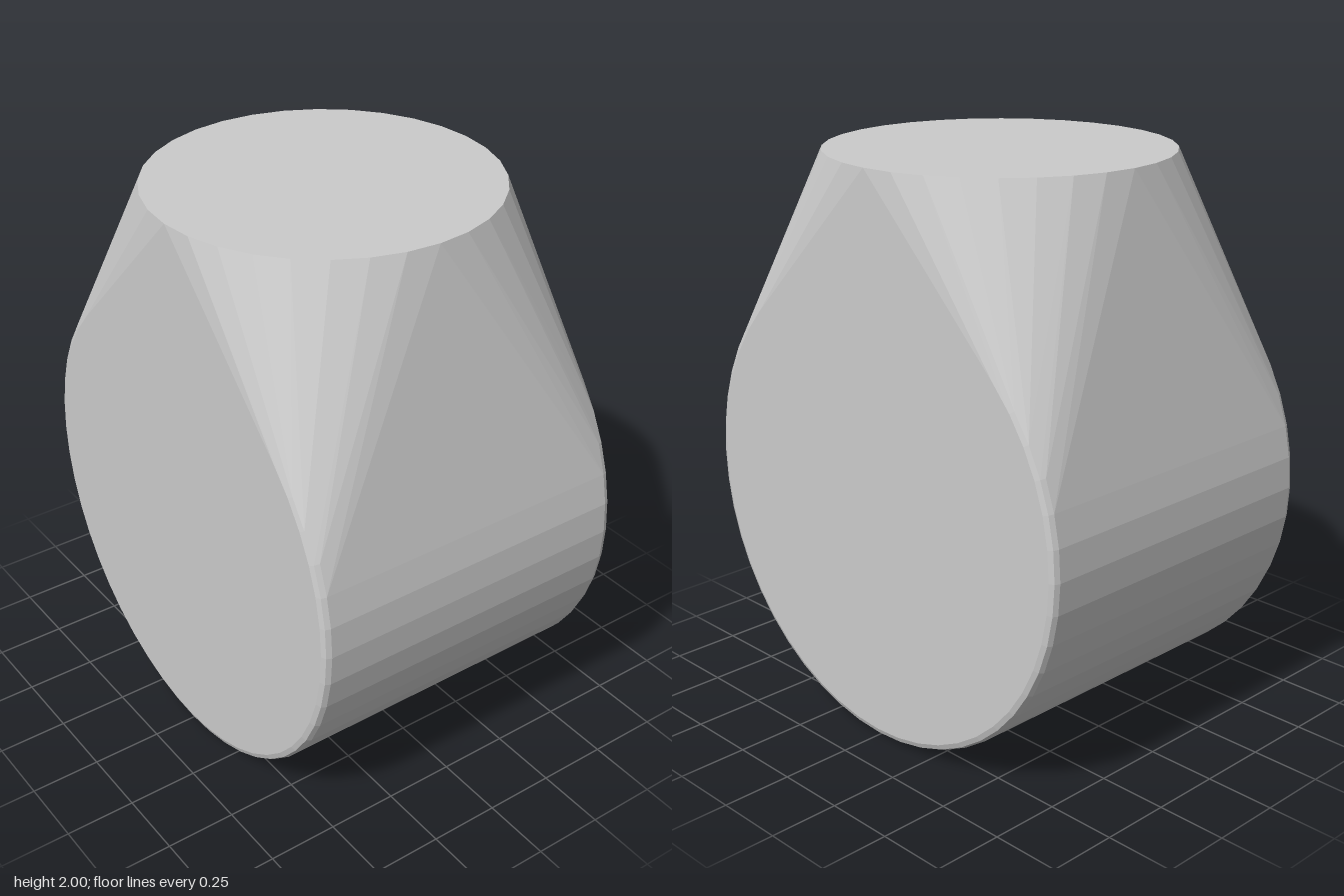
import * as THREE from 'three';
import { ConvexGeometry } from 'three/addons/geometries/ConvexGeometry.js';

const DRUM_RADIUS = 0.845, HALF_DEPTH = 0.6, TOP_RADIUS = 0.6, HEIGHT = 2, BEVEL = 0.025;

// Points evenly spaced round a circle, placed by a callback
function ring(count, radius, place) {
  return Array.from({ length: count }, (_, i) => {
    const a = (i / count) * Math.PI * 2;
    return place(Math.cos(a) * radius, Math.sin(a) * radius);
  });
}

export function createModel() {
  const group = new THREE.Group();
  group.name = 'taperedDrum';
  const points = [];

  // Drum lying along z, with a narrow two-step bevel on both rims
  for (const side of [-1, 1]) {
    for (const angle of [0, Math.PI / 4, Math.PI / 2]) {
      const r = DRUM_RADIUS - BEVEL * (1 - Math.cos(angle));
      const z = side * (HALF_DEPTH - BEVEL * (1 - Math.sin(angle)));
      points.push(...ring(48, r, (x, y) => new THREE.Vector3(x, y + DRUM_RADIUS, z)));
    }
  }

  // Flat round top
  points.push(...ring(32, TOP_RADIUS, (x, z) => new THREE.Vector3(x, HEIGHT, z)));

  // Skin stretched tightly from the drum to the round top
  const body = new THREE.Mesh(
    new ConvexGeometry(points),
    new THREE.MeshStandardMaterial({ color: 0xcccccc, flatShading: true })
  );
  body.name = 'body';
  group.add(body);
  return group;
}
